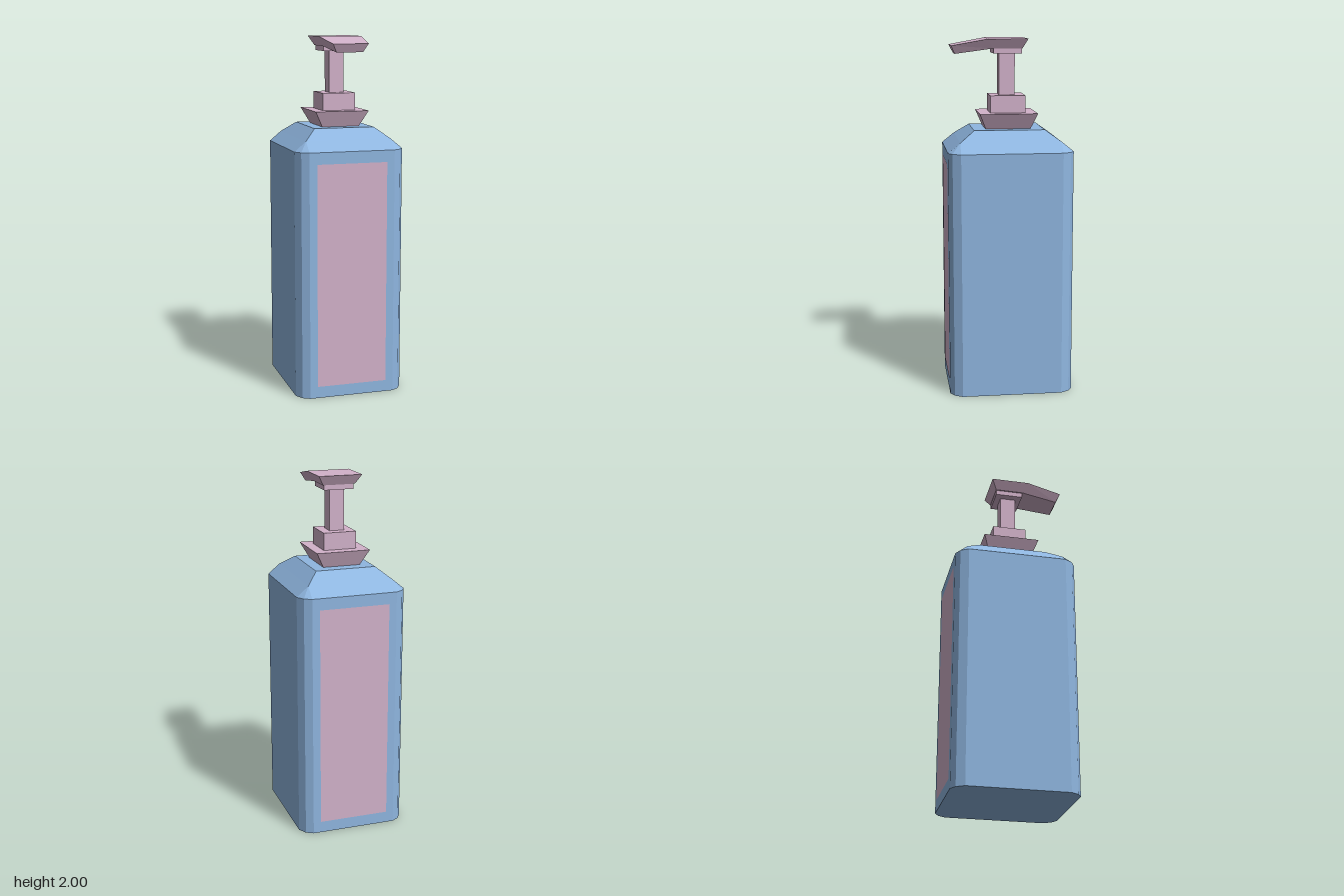
import * as THREE from 'three';

const blue = new THREE.MeshStandardMaterial({ color: 0x8fb6e0, flatShading: true });
const pink = new THREE.MeshStandardMaterial({ color: 0xd2b2ca, flatShading: true });

// Joins rings of [x, y, z] points (counterclockwise seen from the last ring) and caps both ends.
function loft(rings) {
  const pos = [];
  const tri = (a, b, c) => {
    const same = (p, q) => p.every((v, i) => v === q[i]);
    if (!same(a, b) && !same(b, c) && !same(c, a)) pos.push(...a, ...b, ...c);
  };
  const n = rings[0].length;
  for (let r = 0; r < rings.length - 1; r++) {
    const [lo, hi] = [rings[r], rings[r + 1]];
    for (let i = 0; i < n; i++) {
      const j = (i + 1) % n;
      tri(lo[i], lo[j], hi[j]);
      tri(lo[i], hi[j], hi[i]);
    }
  }
  const last = rings[rings.length - 1];
  for (let i = 1; i < n - 1; i++) {
    tri(rings[0][0], rings[0][i + 1], rings[0][i]);
    tri(last[0], last[i], last[i + 1]);
  }
  const geo = new THREE.BufferGeometry();
  geo.setAttribute('position', new THREE.Float32BufferAttribute(pos, 3));
  geo.computeVertexNormals();
  return geo;
}

// Mirrors the points of one corner into a full horizontal ring.
function cornerRing(y, corner) {
  const back = [...corner].reverse();
  return [
    ...corner.map(([x, z]) => [x, y, -z]),
    ...back.map(([x, z]) => [-x, y, -z]),
    ...corner.map(([x, z]) => [-x, y, z]),
    ...back.map(([x, z]) => [x, y, z]),
  ];
}

export function createModel() {
  const group = new THREE.Group();
  const add = (name, geo, mat) => {
    const mesh = new THREE.Mesh(geo, mat);
    mesh.name = name;
    group.add(mesh);
    return mesh;
  };

  // Bottle with chamfered corners and a sloped shoulder
  const wall = [[0.31, 0.282], [0.283, 0.327], [0.243, 0.35]];
  const same = (x, z) => [[x, z], [x, z], [x, z]];
  add('bottle', loft([
    cornerRing(0, wall),
    cornerRing(1.386, wall),
    cornerRing(1.441, same(0.243, 0.281)),
    cornerRing(1.5, same(0.172, 0.198)),
  ]), blue);

  // Thin labels on front and back
  for (const [name, side] of [['frontLabel', 1], ['backLabel', -1]]) {
    const label = add(name, new THREE.PlaneGeometry(0.4, 1.255), pink);
    label.position.set(0, 0.693, side * 0.351);
    if (side < 0) label.rotation.y = Math.PI;
  }

  // Stacked square pump parts: [name, y0, half x, half z, y1, half x, half z]
  const stack = [
    ['collar', 1.5, 0.107, 0.127, 1.588, 0.154, 0.163],
    ['neck', 1.588, 0.094, 0.099, 1.685, 0.094, 0.099],
    ['stem', 1.685, 0.042, 0.045, 1.92, 0.042, 0.045],
    ['headBase', 1.918, 0.085, 0.08, 1.947, 0.085, 0.08],
  ];
  for (const [name, y0, x0, z0, y1, x1, z1] of stack) {
    add(name, loft([cornerRing(y0, [[x0, z0]]), cornerRing(y1, [[x1, z1]])]), pink);
  }

  // Pump head running forward into the drooping spout
  const section = (xLow, yLow, zLow, xTop, yTop, zTop) => [
    [-xLow, yLow, zLow], [xLow, yLow, zLow], [xTop, yTop, zTop], [-xTop, yTop, zTop],
  ];
  add('pumpHead', loft([
    section(0.092, 1.946, -0.082, 0.124, 2, -0.111),
    section(0.092, 1.946, 0.082, 0.124, 2, 0.111),
    section(0.075, 1.917, 0.295, 0.1, 1.963, 0.317),
  ]), pink);

  return group;
}
